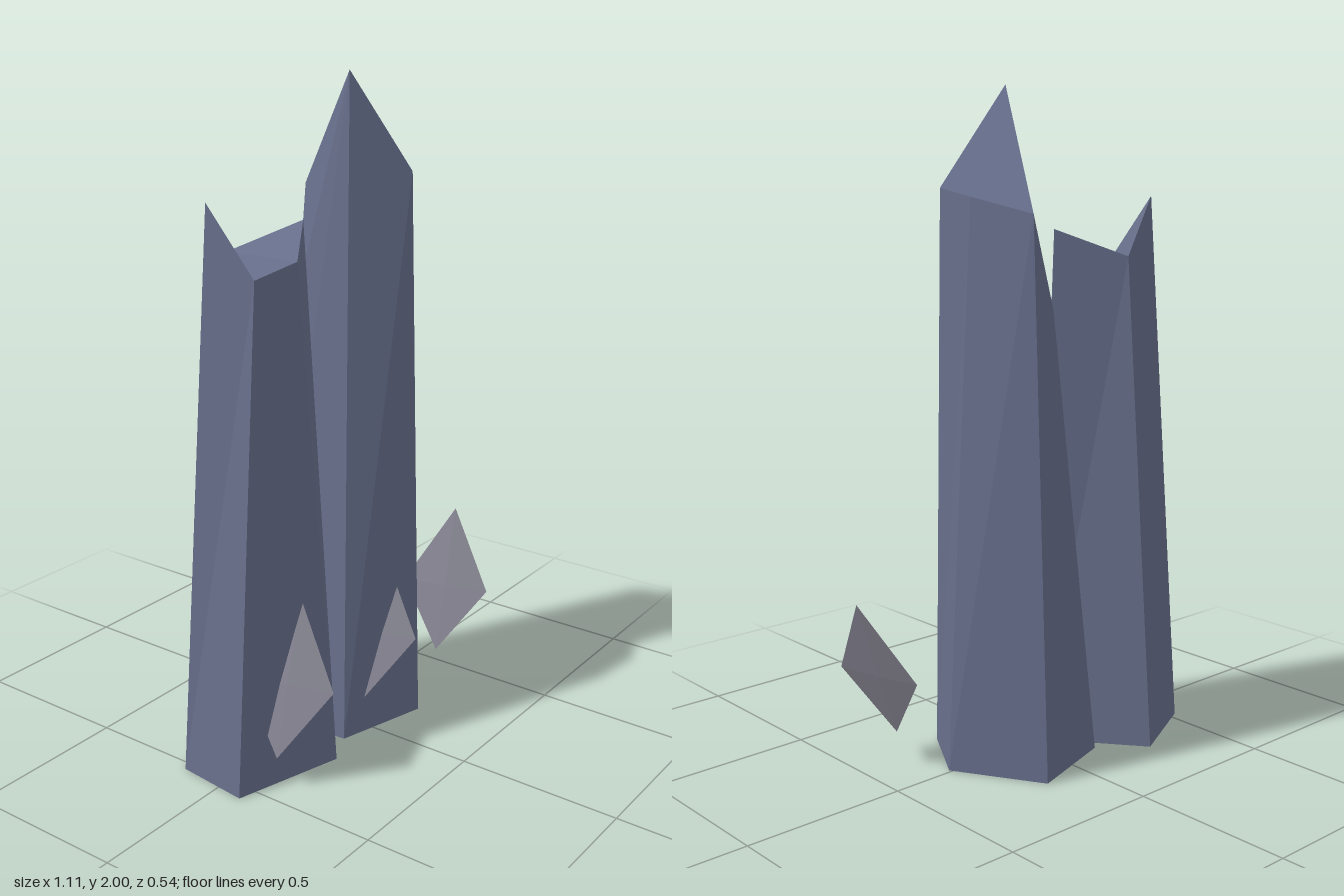
import * as THREE from 'three';

// Flat-shaded mesh from corner points and triangles of corner indices
function facetMesh(name, points, faces, material) {
  const geometry = new THREE.BufferGeometry();
  const corners = faces.flat().flatMap((i) => points[i]);
  geometry.setAttribute('position', new THREE.Float32BufferAttribute(corners, 3));
  geometry.computeVertexNormals();
  const mesh = new THREE.Mesh(geometry, material);
  mesh.name = name;
  return mesh;
}

// Tapered five-sided column: base corners [x, z] and jagged rim corners [x, y, z],
// both running front-left, front-right, right, back, left
function crystalColumn(name, base, rim, material) {
  const n = base.length;
  const points = [...base.map(([x, z]) => [x, 0, z]), ...rim];
  const faces = [];
  for (let i = 0; i < n; i++) {
    const j = (i + 1) % n;
    faces.push([i, j, n + j], [i, n + j, n + i]);
  }
  // Broken top and flat underside, each fanned from the back corner
  const fan = 3;
  for (let k = 1; k < n - 1; k++) {
    const a = (fan + k) % n, b = (fan + k + 1) % n;
    faces.push([n + fan, n + a, n + b], [fan, b, a]);
  }
  return facetMesh(name, points, faces, material);
}

// Thin leaning diamond splinter
function splinter(x, material) {
  const t = [0.0054, -0.0021, -0.0014]; // half thickness along the face normal
  const points = [
    [-0.075, -0.2, 0.016], [0.036, 0, 0.137], [0.089, 0.24, -0.022], [-0.036, 0, -0.137],
    t, t.map((v) => -v),
  ];
  const faces = [];
  for (let i = 0; i < 4; i++) {
    const j = (i + 1) % 4;
    faces.push([j, i, 4], [i, j, 5]);
  }
  const mesh = facetMesh('splinter', points, faces, material);
  mesh.position.set(x, 0.305, 0.132);
  return mesh;
}

export function createModel() {
  const group = new THREE.Group();
  group.name = 'crystalCluster';
  const crystal = new THREE.MeshStandardMaterial({ color: 0x666e8a });
  crystal.name = 'slate blue crystal';
  const shard = new THREE.MeshStandardMaterial({ color: 0x83828f, side: THREE.DoubleSide });
  shard.name = 'grey shard';

  // Tall column
  group.add(crystalColumn('tallCrystal',
    [[-0.11, 0.135], [0.18, 0.217], [0.3, 0.01], [0.145, -0.255], [-0.14, -0.163]],
    [[0.053, 2, 0.028], [0.2, 1.71, 0.147], [0.24, 1.69, -0.035], [0.169, 1.647, -0.218], [-0.006, 1.363, -0.112]],
    crystal));

  // Short column
  group.add(crystalColumn('shortCrystal',
    [[-0.555, 0.087], [-0.217, 0.185], [-0.06, 0], [-0.272, -0.273], [-0.53, -0.142]],
    [[-0.403, 1.485, 0.048], [-0.238, 1.51, 0.065], [-0.076, 1.59, -0.039], [-0.243, 1.51, -0.18], [-0.418, 1.68, -0.104]],
    crystal));

  // Row of splinters along the front
  for (const x of [-0.382, 0.041, 0.463]) group.add(splinter(x, shard));

  return group;
}
